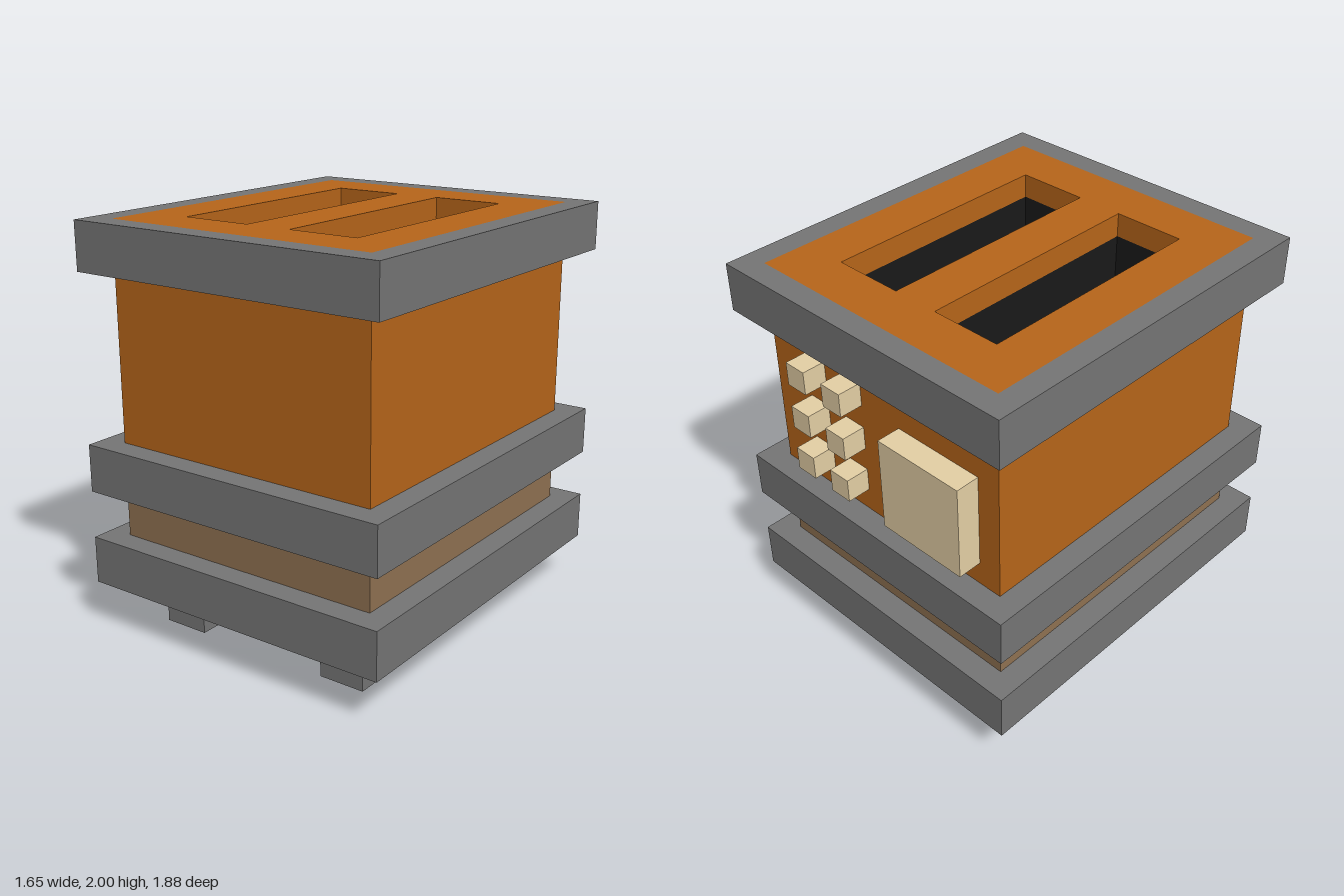
import * as THREE from 'three';

// Everything sits on a block grid; the model is 17 blocks tall.
const U = 2 / 17;

const material = (name, color) => {
  const m = new THREE.MeshStandardMaterial({ color });
  m.name = name;
  return m;
};

// Axis-aligned rectangle given by its limits, in blocks
const rectangle = (Type, x0, x1, z0, z1) =>
  new Type([[x0, z0], [x1, z0], [x1, z1], [x0, z1]]
    .map(([x, z]) => new THREE.Vector2(x * U, z * U)));

export function createModel() {
  const model = new THREE.Group();
  model.name = 'toaster';
  const grey = material('grey', 0x767676);
  const orange = material('orange', 0xb8661a);
  const brown = material('brown', 0x907252);
  const cream = material('cream', 0xe6d1a6);
  const black = material('black', 0x1a1a1a);

  const add = (name, geometry, mat) => {
    const mesh = new THREE.Mesh(geometry, mat);
    mesh.name = name;
    model.add(mesh);
    return mesh;
  };

  // Box from limits in blocks
  const box = (name, mat, x0, x1, y0, y1, z0, z1) =>
    add(name, new THREE.BoxGeometry((x1 - x0) * U, (y1 - y0) * U, (z1 - z0) * U), mat)
      .position.set((x0 + x1) / 2 * U, (y0 + y1) / 2 * U, (z0 + z1) / 2 * U);

  // Upright slab with rectangular holes
  const pierced = (name, mat, halfX, halfZ, y0, y1, holes) => {
    const shape = rectangle(THREE.Shape, -halfX, halfX, -halfZ, halfZ);
    holes.forEach((h) => shape.holes.push(rectangle(THREE.Path, ...h)));
    const geometry = new THREE.ExtrudeGeometry(shape, { depth: (y1 - y0) * U, bevelEnabled: false });
    geometry.rotateX(-Math.PI / 2).translate(0, y0 * U, 0);
    add(name, geometry, mat);
  };

  // Feet
  for (const x of [-4, 4])
    for (const z of [-5, 5]) box('foot', grey, x - 1, x + 1, 0, 2, z - 1, z + 1);

  // Base, lower body and middle band
  box('base', grey, -7, 7, 2, 4, -8, 8);
  box('lowerBody', brown, -6, 6, 4, 6, -7, 7);
  box('middleBand', grey, -7, 7, 6, 8, -8, 8);

  // Upper body walls, slotted lid and top rim
  const slots = [[-4, -1, -5, 5], [1, 4, -5, 5]];
  pierced('upperBody', orange, 6, 7, 8, 16, [[-5, 5, -6, 6]]);
  pierced('lid', orange, 6, 7, 16, 17, slots);
  pierced('topRim', grey, 7, 8, 15, 17, [[-6, 6, -7, 7]]);

  // Dark slot wells below the lid
  pierced('slotWells', black, 5, 6, 9, 16, slots);
  box('slotFloor', black, -5, 5, 8, 9, -6, 6);

  // Buttons and panel on the back
  for (const x of [1, 3])
    for (const y of [9, 11, 13]) box('button', cream, x, x + 1, y, y + 1, -8, -7);
  box('backPanel', cream, -5, -1, 9, 13, -8, -7);

  return model;
}
